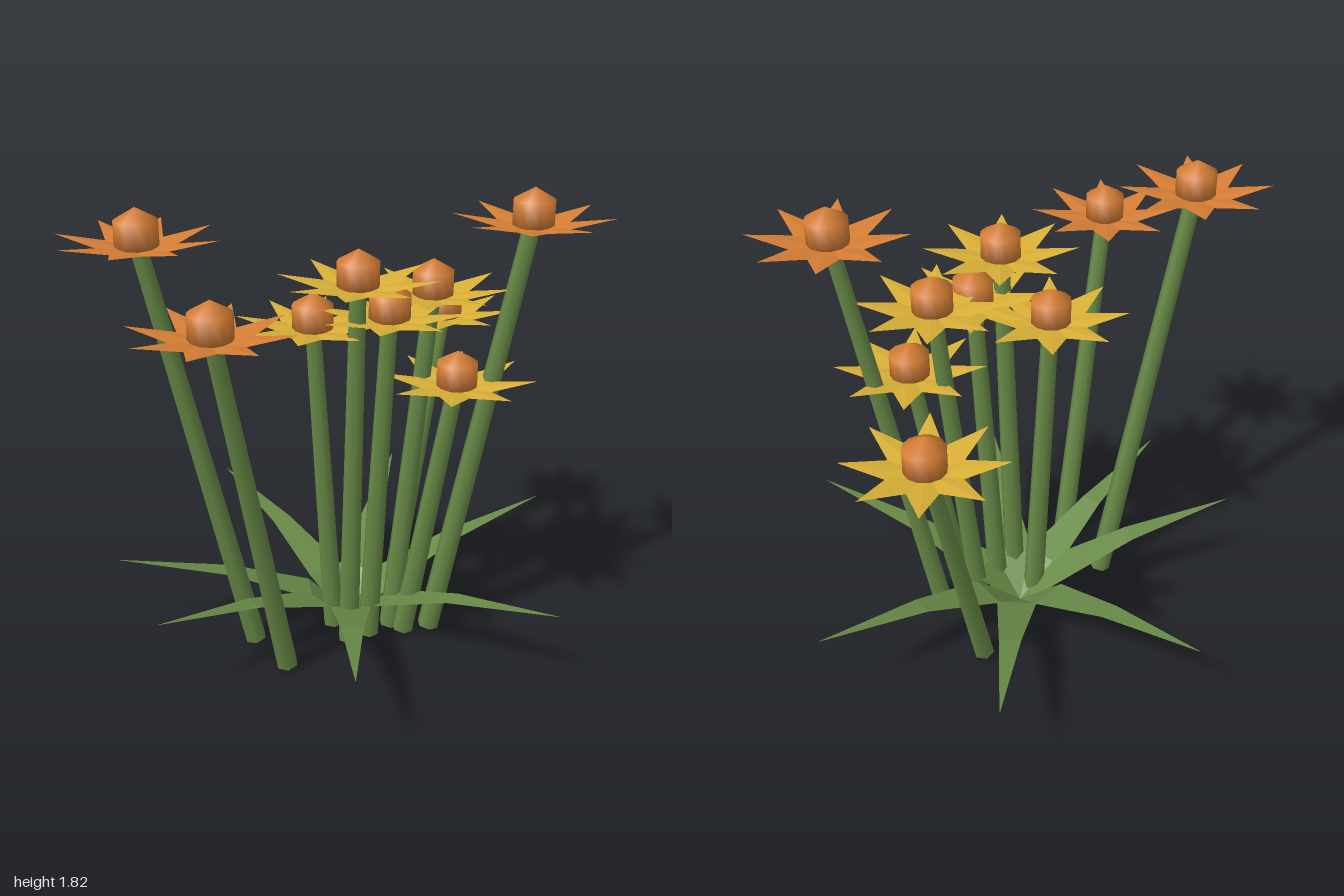
import * as THREE from 'three';

const yellow = new THREE.MeshStandardMaterial({ name: 'yellowPetal', color: 0xd9b036, side: THREE.DoubleSide });
const orange = new THREE.MeshStandardMaterial({ name: 'orange', color: 0xd67e35, side: THREE.DoubleSide });
const green = new THREE.MeshStandardMaterial({ name: 'green', color: 0x688a47, side: THREE.DoubleSide });

function surface(points, index) {
  const indexed = new THREE.BufferGeometry();
  indexed.setAttribute('position', new THREE.Float32BufferAttribute(points, 3));
  indexed.setIndex(index);
  const geometry = indexed.toNonIndexed();
  geometry.computeVertexNormals();
  return geometry;
}

// Eight pointed star, shallowly cupped
function starGeometry() {
  const points = [0, -0.06, 0], index = [];
  for (let i = 0; i < 16; i++) {
    const a = (i * Math.PI) / 8;
    const tip = i % 2 === 0;
    const r = tip ? 0.29 : 0.14;
    points.push(Math.cos(a) * r, tip ? -0.015 : -0.045, Math.sin(a) * r);
    index.push(0, 1 + ((i + 1) % 16), 1 + i);
  }
  return surface(points, index);
}

// Tapering leaf along +x: [distance, height, half width]
function leafGeometry(length) {
  const sections = [[0, 0.02, 0.03], [0.16, 0.15, 0.08], [0.48, 0.26, 0.043], [length, 0.34, 0.001]];
  const points = [], index = [];
  sections.forEach(([r, y, w], i) => {
    points.push(r, y, -w, r, y, w);
    const k = i * 2;
    if (i > 0) index.push(k - 2, k - 1, k, k - 1, k + 1, k);
  });
  return surface(points, index);
}

// Tapered six sided stem between two points
function makeStem(base, top) {
  const dir = top.clone().sub(base);
  const stem = new THREE.Mesh(new THREE.CylinderGeometry(0.032, 0.043, dir.length(), 6), green);
  stem.position.copy(base).lerp(top, 0.5);
  stem.quaternion.setFromUnitVectors(new THREE.Vector3(0, 1, 0), dir.normalize());
  stem.name = 'stem';
  return stem;
}

// Head x, y, z, base x, z, petal colour
const FLOWERS = [
  [-0.185, 1.19, -0.705, -0.09, -0.385, yellow],
  [0.47, 1.73, -0.535, 0.25, -0.3, orange],
  [0.23, 1.46, -0.287, 0.15, -0.18, yellow],
  [0.36, 1.14, -0.305, 0.21, -0.2, yellow],
  [0.24, 1.41, -0.08, 0.15, -0.07, yellow],
  [0.23, 1.55, 0.055, 0.14, 0.02, yellow],
  [0.01, 1.345, 0.095, 0.01, 0.0, yellow],
  [-0.155, 1.71, 0.7, -0.08, 0.32, orange],
  [0.265, 1.49, 0.67, 0.145, 0.32, orange],
];

// Leaf tips x, z
const LEAF_TIPS = [
  [0.135, -1.0], [-0.585, -0.77], [-0.9, -0.055], [0.89, -0.38],
  [0.77, 0.46], [0.08, 0.83], [-0.425, 0.73],
];

export function createModel() {
  const group = new THREE.Group();
  group.name = 'flowerClump';
  const star = starGeometry();
  const ball = new THREE.SphereGeometry(0.088, 12, 3);

  for (const [x, y, z, bx, bz, petal] of FLOWERS) {
    const flower = new THREE.Group();
    flower.name = 'flower';
    const head = new THREE.Vector3(x, y, z);
    flower.add(makeStem(new THREE.Vector3(bx, 0.01, bz), head.clone().setY(y - 0.03)));
    const petals = new THREE.Mesh(star, petal);
    petals.name = 'petals';
    petals.position.copy(head);
    const centre = new THREE.Mesh(ball, orange);
    centre.name = 'flowerCentre';
    centre.position.copy(head);
    flower.add(petals, centre);
    group.add(flower);
  }

  // Leaves fan out from the middle of the clump
  const cx = 0.01, cz = -0.08;
  for (const [x, z] of LEAF_TIPS) {
    const leaf = new THREE.Mesh(leafGeometry(Math.hypot(x - cx, z - cz)), green);
    leaf.name = 'leaf';
    leaf.position.set(cx, 0, cz);
    leaf.rotation.y = -Math.atan2(z - cz, x - cx);
    group.add(leaf);
  }
  return group;
}
